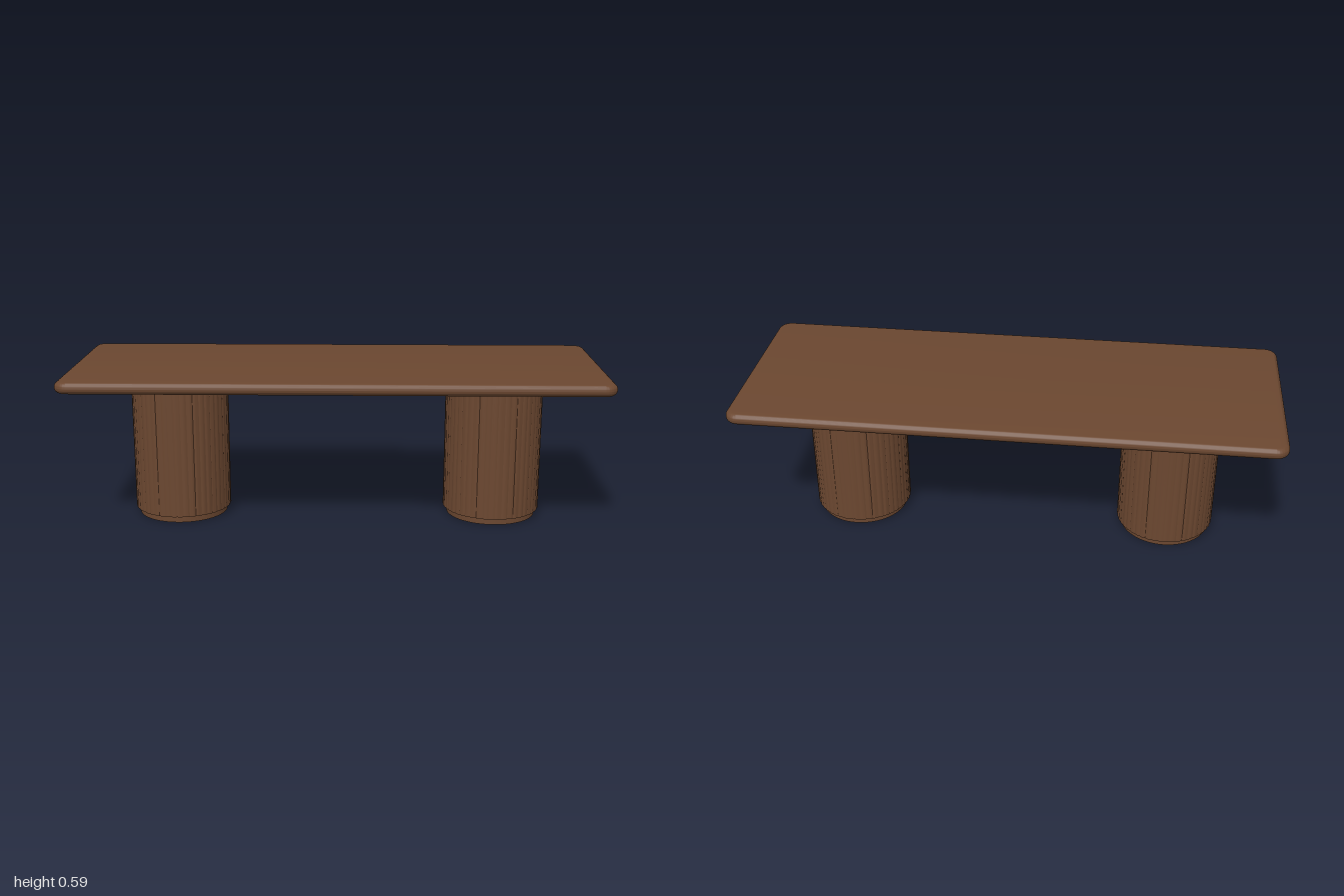
import * as THREE from 'three';
import { toCreasedNormals } from 'three/addons/utils/BufferGeometryUtils.js';

const wood = new THREE.MeshStandardMaterial({ color: 0x6b4730 });
wood.name = 'brown wood';

function addMesh(parent, name, geometry, y) {
  const mesh = new THREE.Mesh(geometry, wood);
  mesh.name = name;
  mesh.position.y = y;
  parent.add(mesh);
  return mesh;
}

// Slab with rounded corners and a full round edge
function tabletopGeometry(halfX, halfZ, corner, thickness) {
  const edge = 0.02;
  const x = halfX - edge, z = halfZ - edge, r = corner - edge;
  const shape = new THREE.Shape();
  shape.absarc(x - r, z - r, r, 0, Math.PI / 2);
  shape.absarc(-x + r, z - r, r, Math.PI / 2, Math.PI);
  shape.absarc(-x + r, -z + r, r, Math.PI, Math.PI * 1.5);
  shape.absarc(x - r, -z + r, r, Math.PI * 1.5, Math.PI * 2);
  shape.closePath();
  const geometry = new THREE.ExtrudeGeometry(shape, {
    depth: thickness - 2 * edge, bevelEnabled: true,
    bevelSize: edge, bevelThickness: edge, bevelSegments: 6, curveSegments: 8,
  });
  geometry.rotateX(-Math.PI / 2).translate(0, edge, 0);
  return toCreasedNormals(geometry, 0.7);
}

// Drum whose wall is cut into shallow vertical reeds
function reededDrumGeometry(radius, height, reeds, depth) {
  const geometry = new THREE.CylinderGeometry(radius, radius, height, reeds * 4);
  const p = geometry.attributes.position;
  for (let i = 0; i < p.count; i++) {
    const angle = Math.atan2(p.getX(i), p.getZ(i));
    const groove = 1 - Math.abs(Math.sin(angle * reeds / 2));
    const k = 1 - groove * depth / radius;
    p.setX(i, p.getX(i) * k);
    p.setZ(i, p.getZ(i) * k);
  }
  return toCreasedNormals(geometry, 0.6);
}

export function createModel() {
  const table = new THREE.Group();
  table.name = 'table';

  addMesh(table, 'tabletop', tabletopGeometry(1, 0.38, 0.05, 0.042), 0.548);

  // Pair of drum pedestals with recessed plinth and collar
  const drum = reededDrumGeometry(0.185, 0.505, 48, 0.003);
  const plinth = new THREE.CylinderGeometry(0.17, 0.17, 0.03, 64);
  for (const side of [1, -1]) {
    const pedestal = new THREE.Group();
    pedestal.name = side > 0 ? 'leftPedestal' : 'rightPedestal';
    pedestal.position.x = side * 0.603;
    addMesh(pedestal, 'plinth', plinth, 0.015);
    addMesh(pedestal, 'reededDrum', drum, 0.2775);
    addMesh(pedestal, 'collar', plinth, 0.535);
    table.add(pedestal);
  }
  return table;
}
